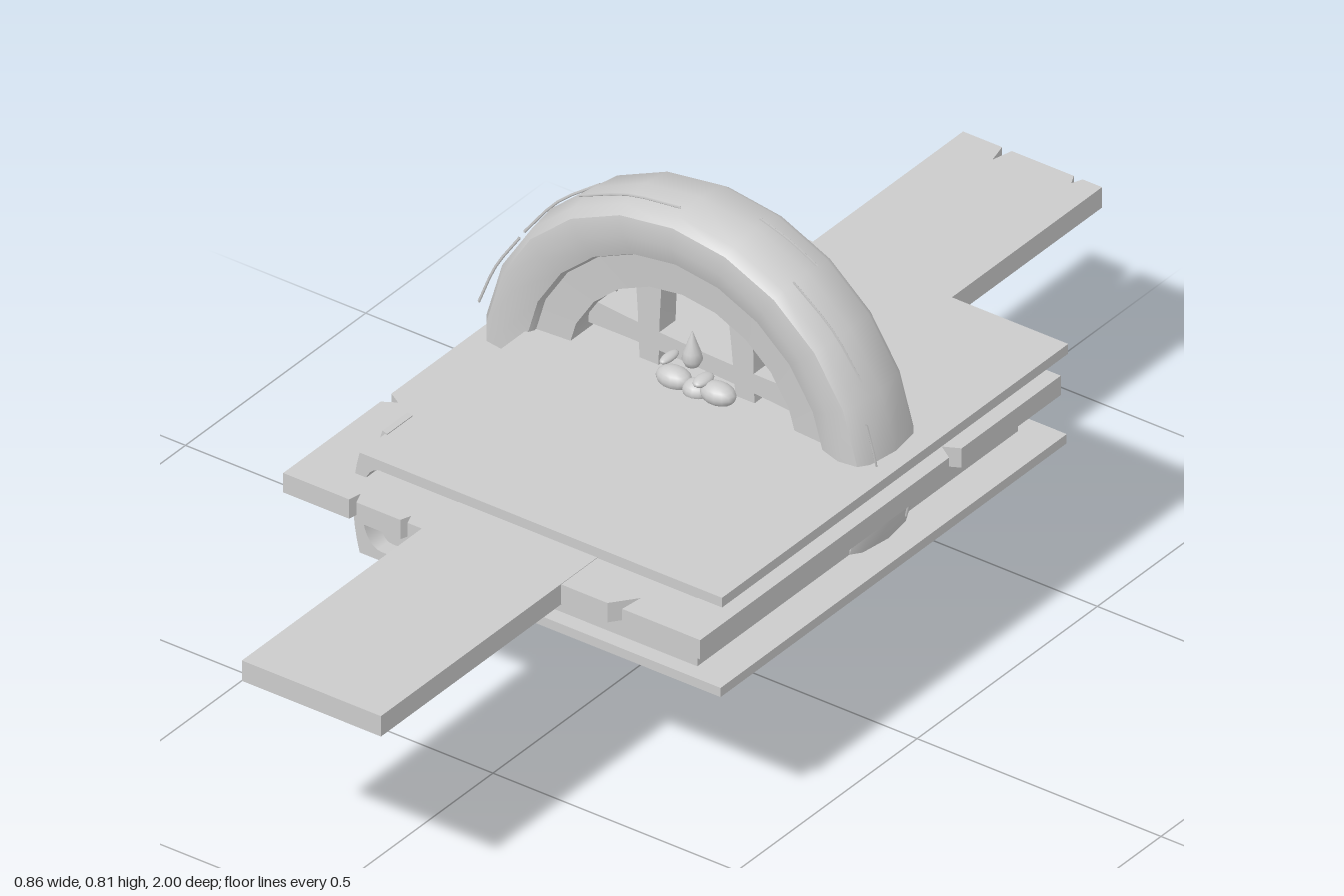
import * as THREE from 'three';
import { toCreasedNormals } from 'three/addons/utils/BufferGeometryUtils.js';

const mat = new THREE.MeshStandardMaterial({ color: 0xcccccc, side: THREE.DoubleSide });
const WX = -0.018, WY = 0.41, WZ = -0.1; // wheel centre

export function createModel() {
  const root = new THREE.Group();
  const add = (name, geo, x = 0, y = 0, z = 0, parent = root) => {
    const m = new THREE.Mesh(geo, mat);
    m.name = name;
    m.position.set(x, y, z);
    parent.add(m);
    return m;
  };
  const box = (name, x0, x1, y0, y1, z0, z1) =>
    add(name, new THREE.BoxGeometry(x1 - x0, y1 - y0, z1 - z0),
      (x0 + x1) / 2, (y0 + y1) / 2, (z0 + z1) / 2);
  const shapeOf = pts => new THREE.Shape(pts.map(p => new THREE.Vector2(...p)));
  // Flat board from an outline of [x, z] points
  const board = (name, pts, y0, y1) => {
    const g = new THREE.ExtrudeGeometry(shapeOf(pts.map(([x, z]) => [x, -z])),
      { depth: y1 - y0, bevelEnabled: false });
    return add(name, g.rotateX(-Math.PI / 2), 0, y0, 0);
  };

  // Wide board with chipped edges
  board('crossBoard', [
    [-0.43, 0.5], [-0.295, 0.5], [-0.29, 0.475], [-0.28, 0.5], [-0.19, 0.5], [-0.183, 0.48], [-0.175, 0.5],
    [0.235, 0.5], [0.27, 0.455], [0.265, 0.5], [0.425, 0.5],
    [0.425, -0.19], [0.395, -0.21], [0.425, -0.225], [0.425, -0.5],
    [-0.43, -0.5], [-0.43, 0.2], [-0.405, 0.215], [-0.43, 0.23],
  ], 0.39, 0.428);

  // Long plank, nicked at the back end
  board('longPlank', [
    [-0.145, 1], [0.14, 1], [0.14, -1], [0.1, -1], [0.092, -0.98], [0.082, -1],
    [-0.045, -1], [-0.055, -0.96], [-0.065, -1], [-0.145, -1],
  ], 0.389, 0.429);

  // Cover: two plates joined by a bowed spine
  const cover = new THREE.Shape();
  cover.moveTo(0.418, 0.472);
  cover.lineTo(-0.325, 0.472);
  cover.quadraticCurveTo(-0.352, 0.374, -0.325, 0.276);
  cover.lineTo(0.415, 0.276);
  cover.lineTo(0.415, 0.294);
  cover.lineTo(-0.28, 0.294);
  cover.quadraticCurveTo(-0.318, 0.296, -0.322, 0.374);
  cover.quadraticCurveTo(-0.318, 0.452, -0.28, 0.453);
  cover.lineTo(0.418, 0.453);
  const coverGeo = new THREE.ExtrudeGeometry(cover, { depth: 0.96, bevelEnabled: false, curveSegments: 8 });
  add('cover', toCreasedNormals(coverGeo, 0.6), 0, 0, -0.53);

  // Inner block, rounded toward the spine
  const block = new THREE.Shape();
  block.moveTo(0.345, 0.29);
  block.lineTo(0.345, 0.457);
  block.lineTo(-0.27, 0.457);
  block.quadraticCurveTo(-0.303, 0.455, -0.305, 0.42);
  block.lineTo(-0.305, 0.33);
  block.quadraticCurveTo(-0.303, 0.292, -0.27, 0.29);
  const blockGeo = new THREE.ExtrudeGeometry(block, { depth: 0.89, bevelEnabled: false, curveSegments: 6 });
  add('innerBlock', toCreasedNormals(blockGeo, 0.6), 0, 0, -0.49);

  // Raised bands across the spine
  for (const z of [-0.5, -0.39, 0.29]) {
    const band = new THREE.Shape();
    band.moveTo(-0.32, 0.474);
    band.lineTo(-0.33, 0.477);
    band.quadraticCurveTo(-0.366, 0.38, -0.332, 0.272);
    band.lineTo(-0.318, 0.274);
    band.quadraticCurveTo(-0.34, 0.374, -0.32, 0.474);
    add('spineBand', new THREE.ExtrudeGeometry(band, { depth: 0.07, bevelEnabled: false, curveSegments: 8 }), 0, 0, z);
  }

  // Wheel: worn tyre and recessed rim, turned about z
  const wheel = new THREE.Group();
  wheel.name = 'wheel';
  wheel.position.set(WX, WY, WZ);
  root.add(wheel);
  const ring = (name, profile, segs) => {
    const g = new THREE.LatheGeometry(profile.map(p => new THREE.Vector2(...p)), segs);
    g.rotateX(Math.PI / 2);
    return add(name, toCreasedNormals(g, 0.65), 0, 0, 0, wheel);
  };
  ring('tyre', [[0.305, -0.06], [0.31, -0.07], [0.35, -0.083], [0.385, -0.078], [0.398, -0.06], [0.406, 0],
    [0.398, 0.06], [0.385, 0.078], [0.35, 0.083], [0.31, 0.07], [0.305, 0.06], [0.305, -0.06]], 22);
  ring('rim', [[0.24, -0.05], [0.31, -0.055], [0.31, 0.055], [0.24, 0.05], [0.24, -0.05]], 22);

  // Lattice of spokes
  const spoke = (x0, y0, x1, y1, w) => {
    const dx = x1 - x0, dy = y1 - y0;
    const m = add('spoke', new THREE.BoxGeometry(Math.hypot(dx, dy), w, 0.045, 6, 1, 1),
      (x0 + x1) / 2 - WX, (y0 + y1) / 2 - WY, 0, wheel);
    // flare toward both ends
    const p = m.geometry.attributes.position, half = Math.hypot(dx, dy) / 2;
    for (let i = 0; i < p.count; i++) p.setY(i, p.getY(i) * (0.85 + 0.35 * (p.getX(i) / half) ** 2));
    m.geometry.computeVertexNormals();
    m.rotation.z = Math.atan2(dy, dx);
  };
  spoke(-0.105, 0.19, -0.108, 0.64, 0.045);
  spoke(0.105, 0.2, 0.08, 0.645, 0.045);
  spoke(-0.23, 0.525, 0.22, 0.505, 0.04);
  spoke(-0.21, 0.262, 0.18, 0.275, 0.03);

  // Thin splinters peeling off the tread
  [[0.75, 0.5, 0.03], [1.15, 0.3, -0.03], [0.15, 0.4, 0.05], [1.85, 0.5, 0.04],
    [2.4, 0.5, -0.02], [2.75, 0.4, 0.05], [-0.1, 0.25, -0.04], [3.1, 0.4, 0]].forEach(([a, len, z]) => {
    const pts = [0, 0.5, 1].map(t => new THREE.Vector3(
      Math.cos(a + len * (t - 0.5)) * (0.402 + 0.012 * t),
      Math.sin(a + len * (t - 0.5)) * (0.402 + 0.012 * t), z + 0.015 * t));
    add('splinter', new THREE.TubeGeometry(new THREE.CatmullRomCurve3(pts), 6, 0.0025, 4), 0, 0, 0, wheel);
  });

  // Bowl at the hub
  const bowl = add('hubBowl', new THREE.SphereGeometry(0.165, 24, 10, 0, Math.PI * 2, Math.PI / 2, Math.PI / 2),
    0, 0.41, -0.05);
  bowl.scale.z = 0.52;

  // Drop and pebbles above the bowl
  const drop = [[0, 0], [0.012, 0.004], [0.018, 0.016], [0.015, 0.03], [0.007, 0.052], [0, 0.072]];
  add('drop', new THREE.LatheGeometry(drop.map(p => new THREE.Vector2(...p)), 14), 0.002, 0.517, -0.05);
  [[0.055, 0.485, 0.034, 0.02], [-0.035, 0.482, 0.034, 0.02], [0.012, 0.477, 0.026, 0.018],
    [-0.045, 0.518, 0.01, 0.007], [0.025, 0.5, 0.014, 0.009]].forEach(([x, y, rx, ry]) => {
    add('pebble', new THREE.SphereGeometry(1, 14, 10), x, y, -0.05).scale.set(rx, ry, 0.024);
  });

  // Curved leaf drips under the bowl
  [[-0.075, 0.258, 0.055], [-0.045, 0.255, 0.05], [-0.005, 0.25, 0.07], [0.03, 0.25, 0.045], [0.035, 0.255, 0.055],
    [-0.02, 0.258, 0.05]].forEach(([x, y, l], i) => {
    const s = new THREE.Shape();
    s.moveTo(0, 0);
    s.quadraticCurveTo(0.022, -l * 0.55, -0.012, -l);
    s.quadraticCurveTo(-0.022, -l * 0.6, 0, 0);
    add('leafDrip', new THREE.ExtrudeGeometry(s, { depth: 0.01, bevelEnabled: false, curveSegments: 6 }),
      x, y, -0.06 + 0.008 * (i % 3));
  });

  return root;
}
